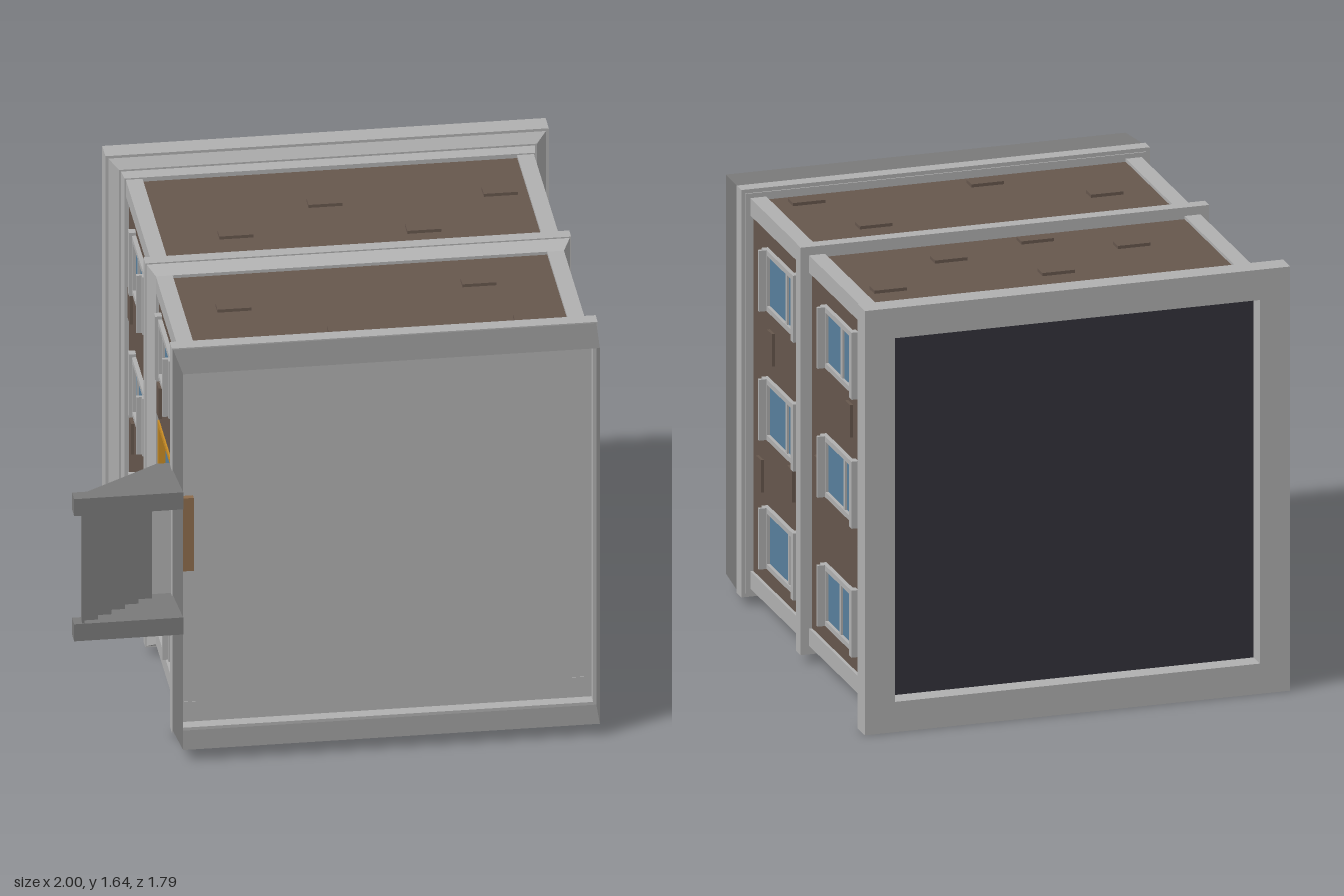
import * as THREE from 'three';

// The building lies on its back: its roof points to -z, its open base to +z.
const CX = 0.1775, CY = 0.8225, WALL = 0.745;

export function createModel() {
  const root = new THREE.Group();
  root.name = 'building';
  const mat = (name, color, side = THREE.FrontSide) => {
    const m = new THREE.MeshStandardMaterial({ color, side });
    m.name = name;
    return m;
  };
  const brick = mat('brown wall', 0x66574d);
  const trim = mat('light stone', 0xb0b0b0);
  const stone = mat('dark stone', 0x7a7a7a, THREE.DoubleSide);
  const glass = mat('window glass', 0x587f9c);
  const roofMat = mat('dark roof', 0x33323b);
  const orange = mat('door wood', 0xc88c24);
  const tan = mat('threshold wood', 0x8d6c4c);

  const add = (name, geo, m, parent = root) => {
    const mesh = new THREE.Mesh(geo, m);
    mesh.name = name;
    parent.add(mesh);
    return mesh;
  };
  const box = (name, m, [x0, x1], [y0, y1], [z0, z1], parent = root) => {
    const g = new THREE.BoxGeometry(Math.abs(x1 - x0), Math.abs(y1 - y0), Math.abs(z1 - z0));
    g.translate((x0 + x1) / 2, (y0 + y1) / 2, (z0 + z1) / 2);
    return add(name, g, m, parent);
  };
  // Square frustum along z, half-width a at zA (lower z) and b at zB
  const frustum = (name, m, a, zA, b, zB, open = false) => {
    let g = new THREE.CylinderGeometry(b * Math.SQRT2, a * Math.SQRT2, zB - zA, 4, 1, open);
    g.rotateY(Math.PI / 4).rotateX(Math.PI / 2);
    g.translate(CX, CY, (zA + zB) / 2);
    g = g.toNonIndexed();
    g.computeVertexNormals();
    return add(name, g, m);
  };
  const square = (h, P) => {
    const s = new P();
    s.moveTo(CX - h, CY - h);
    s.lineTo(CX + h, CY - h);
    s.lineTo(CX + h, CY + h);
    s.lineTo(CX - h, CY + h);
    s.closePath();
    return s;
  };
  const ring = (name, m, outer, inner, z0, z1) => {
    const s = square(outer, THREE.Shape);
    s.holes.push(square(inner, THREE.Path));
    const g = new THREE.ExtrudeGeometry(s, { depth: z1 - z0, bevelEnabled: false });
    return add(name, g.translate(0, 0, z0), m);
  };

  // Walls: full upper storey, ground storey with a notch for the doorway
  const W = CX - WALL, E = CX + WALL, B = CY - WALL, T = CY + WALL;
  box('upperWalls', brick, [W, E], [B, T], [-0.8, 0.06]);
  const plan = new THREE.Shape([
    [W, B], [E, B], [E, T], [W, T], [W, 0.99], [W + 0.04, 0.99], [W + 0.04, 0.67], [W, 0.67],
  ].map(p => new THREE.Vector2(...p)));
  add('groundWalls', new THREE.ExtrudeGeometry(plan, { depth: 0.6, bevelEnabled: false }).translate(0, 0, 0.06), brick);

  // Corner posts
  for (const sx of [-1, 1]) for (const sy of [-1, 1]) {
    box('cornerPost', trim,
      [CX + sx * 0.695, CX + sx * 0.757], [CY + sy * 0.69, CY + sy * 0.757], [-0.76, 0.67]);
  }

  // Middle band, cornice and roof
  frustum('middleBand', trim, 0.79, -0.038, 0.79, 0.013);
  frustum('middleBandMoulding', trim, 0.785, 0.013, 0.757, 0.058);
  frustum('corniceLower', trim, 0.768, -0.785, 0.762, -0.738);
  frustum('corniceFlare', trim, 0.815, -0.812, 0.775, -0.785);
  ring('parapet', trim, 0.8225, 0.705, -0.895, -0.81);
  box('roofPanel', roofMat, [CX - 0.71, CX + 0.71], [CY - 0.71, CY + 0.71], [-0.82, -0.805]);

  // Hollow base with floor plate
  ring('baseBand', trim, 0.79, 0.773, 0.66, 0.715);
  frustum('baseSkirt', stone, 0.785, 0.715, 0.773, 0.895, true);
  box('floorPlate', trim, [CX - 0.775, CX + 0.775], [CY - 0.775, CY + 0.775], [0.655, 0.668]);

  // Windows; d is the distance out from the wall on side s
  const windowAt = (s, y, zb, mullion) => {
    const g = new THREE.Group();
    g.name = 'window';
    root.add(g);
    const part = (name, m, d, y0, y1, z0, z1) =>
      box(name, m, [CX + s * (WALL - 0.005), CX + s * (WALL + d)], [y + y0, y + y1], [z0, z1], g);
    part('pane', glass, 0.004, -0.11, 0.11, zb - 0.33, zb - 0.02);
    part('frameBottom', trim, 0.016, -0.118, 0.118, zb - 0.033, zb);
    part('frameTop', trim, 0.016, -0.118, 0.118, zb - 0.34, zb - 0.322);
    for (const k of [-1, 1]) part('frameSide', trim, 0.016, k * 0.098, k * 0.118, zb - 0.34, zb);
    part('mullion', trim, 0.012, -0.1, 0.1, mullion - 0.009, mullion + 0.009);
    part('sill', trim, 0.045, -0.118, 0.118, zb - 0.028, zb - 0.014);
    part('sillFoot', trim, 0.025, -0.118, 0.118, zb - 0.014, zb + 0.004);
    part('lintel', trim, 0.026, -0.13, 0.13, zb - 0.372, zb - 0.34);
  };
  const rows = [1.325, 0.825, 0.325];
  const columns = [[0.48, [0.23, 0.23, 0.2]], [-0.21, [-0.42, -0.45, -0.405]]];
  for (const s of [-1, 1]) columns.forEach(([zb, mullions], c) => rows.forEach((y, r) => {
    if (s < 0 && c === 0 && r === 1) return; // doorway
    windowAt(s, y, zb, mullions[r]);
  }));

  // Raised bricks on the window walls: [y, z]
  const sideBricks = {
    1: [[1.07, 0.43], [1.09, -0.49], [0.76, -0.12], [0.62, 0.19], [0.54, 0.56], [0.57, -0.63]],
    '-1': [[1.1, -0.66], [0.58, -0.63], [0.55, -0.13], [1.07, 0.5], [0.19, 0.56], [1.09, 0.1]],
  };
  for (const s of [-1, 1]) for (const [y, z] of sideBricks[s]) {
    box('raisedBrick', brick, [CX + s * WALL, CX + s * (WALL + 0.012)], [y - 0.063, y + 0.063], [z - 0.029, z + 0.029]);
  }
  // Raised bricks on the blank walls: [x, z]
  const blankBricks = [[-0.33, 0.33], [0.59, 0.25], [0.74, 0.58], [0.05, 0.58], [-0.24, -0.26],
    [0.12, -0.47], [0.08, -0.1], [0.45, -0.21], [0.77, -0.47]];
  for (const s of [-1, 1]) for (const [x, z] of blankBricks) {
    box('raisedBrick', brick, [x - 0.063, x + 0.063], [CY + s * WALL, CY + s * (WALL + 0.012)], [z - 0.029, z + 0.029]);
  }

  // Door with window, panels and knob, set back in the doorway
  const D = W + 0.04;
  box('door', orange, [D - 0.012, D], [0.67, 0.99], [0.06, 0.66]);
  for (const y of [[0.67, 0.69], [0.97, 0.99]]) box('doorFrame', orange, [W - 0.006, D], y, [0.06, 0.66]);
  box('doorFrameTop', orange, [W - 0.006, D], [0.67, 0.99], [0.06, 0.08]);
  box('doorWindowFrame', orange, [D - 0.022, D - 0.01], [0.73, 0.93], [0.11, 0.33]);
  box('doorGlass', glass, [D - 0.026, D - 0.02], [0.745, 0.915], [0.125, 0.315]);
  for (const y of [0.775, 0.885]) box('doorPanel', orange, [D - 0.018, D - 0.01], [y - 0.04, y + 0.04], [0.42, 0.6]);
  add('doorKnob', new THREE.SphereGeometry(0.014, 12, 8).translate(D - 0.028, 0.72, 0.37), orange);
  box('threshold', tan, [W, D], [0.68, 0.98], [0.62, 0.69]);

  // Stair side walls
  const cheek = new THREE.Shape([
    [-1, 0.895], [-1, 0.84], [-0.945, 0.84], [-0.66, 0.65], [-0.595, 0.65], [-0.595, 0.895],
  ].map(([x, z]) => new THREE.Vector2(x, -z)));
  for (const y of [0.525, 1.04]) {
    const g = new THREE.ExtrudeGeometry(cheek, { depth: 0.07, bevelEnabled: false });
    add('stairSide', g.rotateX(-Math.PI / 2).translate(0, y, 0), stone);
  }
  // Steps as thin treads and risers, open beneath
  const N = 5, run = 0.055, rise = 0.036;
  for (let i = 0; i < N; i++) {
    const x = -0.97 + i * run, z = 0.858 - i * rise;
    box('tread', stone, [x, x + run + 0.008], [0.595, 1.04], [z, z + 0.01]);
    box('riser', stone, [x, x + 0.008], [0.595, 1.04], [z, z + rise]);
  }
  box('landing', trim, [-0.695, W], [0.595, 1.04], [0.672, 0.69]);
  box('landingRiser', stone, [-0.695, -0.687], [0.595, 1.04], [0.678, 0.72]);

  return root;
}
